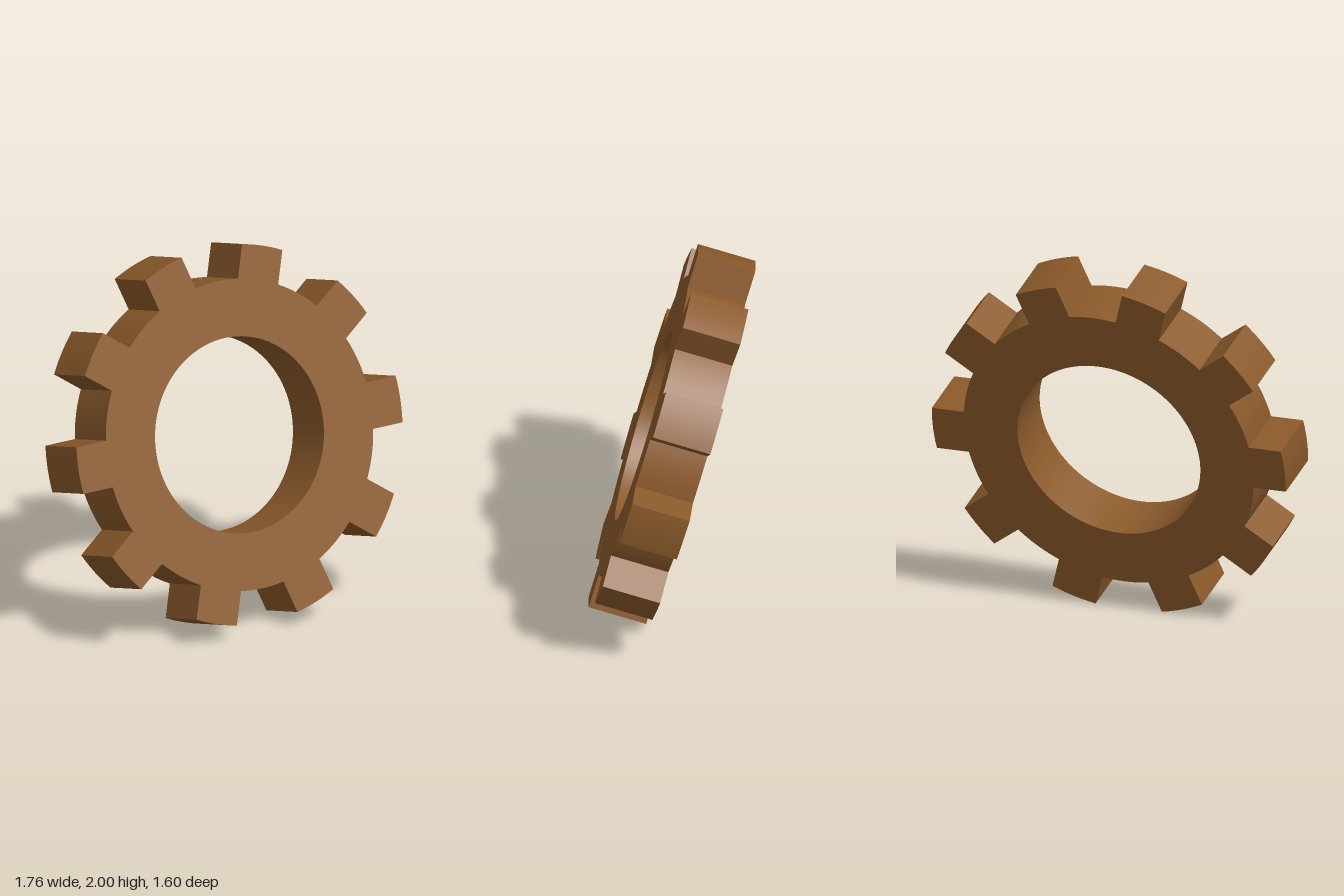
import * as THREE from 'three';
import { toCreasedNormals } from 'three/addons/utils/BufferGeometryUtils.js';

const TEETH = 10;
const TIP_RADIUS = 1.013, ROOT_RADIUS = 0.83, HOLE_RADIUS = 0.524;
const THICKNESS = 0.318;
const TOOTH_HALF_WIDTH = 0.126;

// points along an arc, both ends included
function arc(radius, from, to, steps) {
  return Array.from({ length: steps + 1 }, (_, i) => {
    const a = from + (to - from) * i / steps;
    return new THREE.Vector2(radius * Math.cos(a), radius * Math.sin(a));
  });
}

// parallel-sided teeth joined by root arcs
function gearOutline() {
  const pitch = 2 * Math.PI / TEETH;
  const tip = Math.asin(TOOTH_HALF_WIDTH / TIP_RADIUS);
  const root = Math.asin(TOOTH_HALF_WIDTH / ROOT_RADIUS);
  const points = [];
  for (let i = 0; i < TEETH; i++) {
    const a = i * pitch;
    points.push(...arc(TIP_RADIUS, a - tip, a + tip, 6));
    points.push(...arc(ROOT_RADIUS, a + root, a + pitch - root, 6));
  }
  return new THREE.Shape(points);
}

export function createModel() {
  const model = new THREE.Group();
  model.name = 'gear';

  // toothed ring with a round bore
  const shape = gearOutline();
  const bore = arc(HOLE_RADIUS, 0, 2 * Math.PI, 96).slice(0, -1).reverse();
  shape.holes.push(new THREE.Path(bore));
  const geometry = new THREE.ExtrudeGeometry(shape, { depth: THICKNESS, bevelEnabled: false });
  geometry.translate(0, 0, -THICKNESS / 2);

  const ring = new THREE.Mesh(
    toCreasedNormals(geometry, 0.4),
    new THREE.MeshStandardMaterial({ color: 0x8b5a2b })
  );
  ring.name = 'toothedRing';

  // turned towards the left and tipped back
  ring.rotation.set(-0.2776, 0.714, 0, 'YXZ');
  ring.position.y = 1;
  model.add(ring);
  return model;
}
